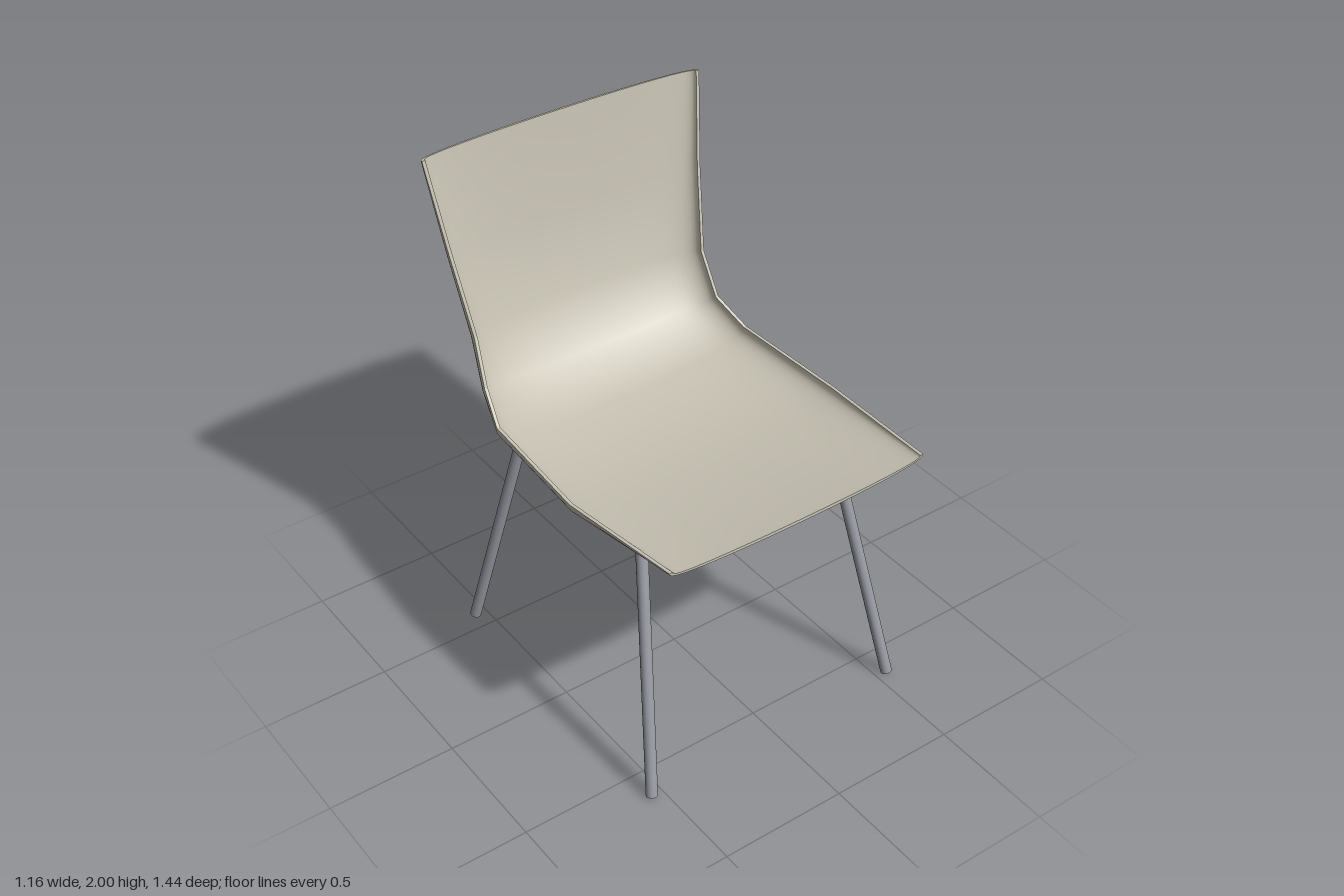
import * as THREE from 'three';

// Shell stations from the seat front to the top of the back:
// edge z, edge y, centre z, centre y, half width
const STATIONS = [
  [0.72, 1.105, 0.72, 1.06, 0.54],
  [0.2, 1.07, 0.2, 0.945, 0.58],
  [-0.3, 1.08, -0.345, 0.94, 0.555],
  [-0.43, 1.16, -0.54, 1.06, 0.52],
  [-0.505, 1.33, -0.64, 1.28, 0.505],
  [-0.58, 1.65, -0.695, 1.6, 0.54],
  [-0.645, 2.0, -0.72, 1.985, 0.58],
];
const ACROSS = 40;
const THICKNESS = 0.013;

// Point on the shell: row r, step j across, inset from the outer skin
function shellPoint(r, j, inset) {
  const [ez, ey, cz, cy, w] = STATIONS[r];
  const a = (j / ACROSS - 0.5) * Math.PI;
  const depth = Math.pow(Math.max(Math.cos(a), 0), 0.75);
  const full = Math.hypot(cz - ez, cy - ey);
  const k = depth * (full - inset) / full;
  return [(w - inset) * Math.sin(a), ey + (cy - ey) * k, ez + (cz - ez) * k];
}

// Smooth surface through rows of points
function gridGeometry(rows, flip = false) {
  const n = rows[0].length;
  const index = [];
  for (let r = 0; r < rows.length - 1; r++) {
    for (let j = 0; j < n - 1; j++) {
      const a = r * n + j, b = a + 1, c = a + n, d = c + 1;
      if (flip) index.push(a, c, b, b, c, d);
      else index.push(a, b, c, b, d, c);
    }
  }
  const geo = new THREE.BufferGeometry();
  geo.setAttribute('position', new THREE.Float32BufferAttribute(rows.flat(2), 3));
  geo.setIndex(index);
  geo.computeVertexNormals();
  return geo;
}

const skin = (inset) => STATIONS.map((_, r) =>
  Array.from({ length: ACROSS + 1 }, (_, j) => shellPoint(r, j, inset)));

// Closed walk around the border of a skin
function border(rows) {
  const last = rows.length - 1;
  const loop = [...rows[0]];
  for (let r = 1; r <= last; r++) loop.push(rows[r][ACROSS]);
  for (let j = ACROSS - 1; j >= 0; j--) loop.push(rows[last][j]);
  for (let r = last - 1; r >= 0; r--) loop.push(rows[r][0]);
  return loop;
}

export function createModel() {
  const model = new THREE.Group();
  model.name = 'chair';
  const shellMat = new THREE.MeshStandardMaterial({ color: 0xc8c3b4 });
  shellMat.name = 'warm grey shell';
  const legMat = new THREE.MeshStandardMaterial({ color: 0x9a9ca5 });
  legMat.name = 'steel grey';

  const add = (name, geo, mat, parent) => {
    const mesh = new THREE.Mesh(geo, mat);
    mesh.name = name;
    parent.add(mesh);
    return mesh;
  };

  // Curved one-piece seat and back
  const shell = new THREE.Group();
  shell.name = 'seatShell';
  model.add(shell);
  const outer = skin(0), inner = skin(THICKNESS);
  add('shellOuter', gridGeometry(outer, true), shellMat, shell);
  add('shellInner', gridGeometry(inner), shellMat, shell);
  const rim = gridGeometry([border(outer), border(inner)]).toNonIndexed();
  rim.computeVertexNormals();
  add('shellRim', rim, shellMat, shell);

  // Four splayed legs
  const up = new THREE.Vector3(0, 1, 0);
  for (const side of [1, -1]) {
    for (const [name, topZ, footZ] of [['frontLeg', 0.4, 0.62], ['backLeg', -0.355, -0.575]]) {
      const top = new THREE.Vector3(side * 0.425, 0.935, topZ);
      const foot = new THREE.Vector3(side * 0.547, 0.006, footZ);
      const dir = top.clone().sub(foot);
      const leg = add(name + (side > 0 ? 'Left' : 'Right'),
        new THREE.CylinderGeometry(0.022, 0.022, dir.length(), 20), legMat, model);
      leg.position.copy(top).add(foot).multiplyScalar(0.5);
      leg.quaternion.setFromUnitVectors(up, dir.normalize());
    }
  }
  return model;
}
